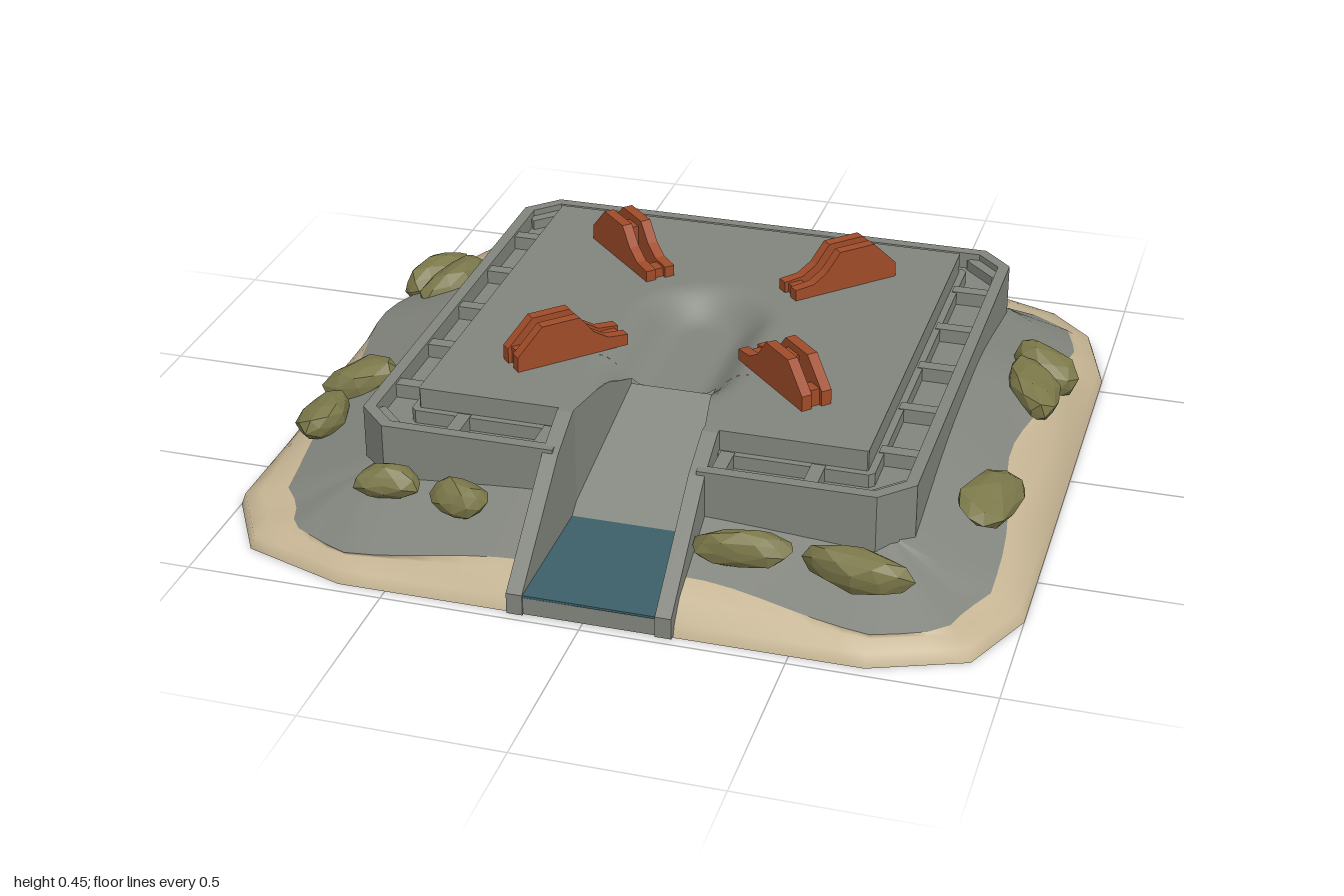
import * as THREE from 'three';

const mat = (name, color, side = THREE.FrontSide) => {
  const m = new THREE.MeshStandardMaterial({ color, side });
  m.name = name;
  return m;
};
const CX = 0.02; // centre line of platform and channel
const smooth = (a, b, v) => THREE.MathUtils.smoothstep(v, a, b);

// Surface through rows of [x, y, z] points
function grid(rows) {
  const w = rows[0].length, idx = [];
  for (let r = 0; r < rows.length - 1; r++)
    for (let c = 0; c < w - 1; c++) {
      const a = r * w + c, b = a + 1, d = a + w, e = d + 1;
      idx.push(a, d, b, b, d, e);
    }
  const g = new THREE.BufferGeometry();
  g.setAttribute('position', new THREE.Float32BufferAttribute(rows.flat(2), 3));
  g.setIndex(idx);
  g.computeVertexNormals();
  return g;
}

// Chamfered square outline, open at the front for the channel
function openOutline(inset) {
  const x0 = -0.68 + inset, x1 = 0.72 - inset, z0 = -0.68 + inset, z1 = 0.70 - inset;
  const c = Math.max(0.08 - 0.6 * inset, 0.003);
  return [[0.2, z1], [x1 - c, z1], [x1, z1 - c], [x1, z0 + c], [x1 - c, z0],
    [x0 + c, z0], [x0, z0 + c], [x0, z1 - c], [x0 + c, z1], [-0.16, z1]];
}
function band(outer, inner, y0, y1) {
  const pts = [...openOutline(outer), ...openOutline(inner).reverse()];
  const g = new THREE.ExtrudeGeometry(new THREE.Shape(pts.map(p => new THREE.Vector2(...p))),
    { depth: y1 - y0, bevelEnabled: false });
  return g.rotateX(Math.PI / 2).translate(0, y1, 0);
}

// Deck height: bowl in the middle, running out into the ramp
function deckHeight(x, z) {
  const d = Math.hypot(x - CX, z - Math.min(Math.max(z, 0), 0.5));
  const depth = 0.075 * (1 - smooth(0.28, 0.45, z));
  return 0.34 - depth * (1 - smooth(0.07, 0.19, d));
}

export function createModel() {
  const root = new THREE.Group();
  root.name = 'islandPlatform';
  const stone = mat('stone grey', 0x82857d, THREE.DoubleSide);
  const sand = mat('sand', 0xc6b594, THREE.DoubleSide);
  const moss = mat('mossy rock', 0x7b784a);
  const rust = mat('rust orange', 0xa04b29);
  const water = mat('deep water', 0x3c5f69, THREE.DoubleSide);
  const add = (name, geo, m, parent = root) => {
    const mesh = new THREE.Mesh(geo, m);
    mesh.name = name;
    parent.add(mesh);
    return mesh;
  };
  const box = (name, w, h, d, x, y, z, m, parent) =>
    add(name, new THREE.BoxGeometry(w, h, d).translate(x, y, z), m, parent);

  // Island shoreline, subdivided, open at the channel
  const corners = [[0.2, 0.97], [0.68, 0.97], [0.91, 0.88], [1, 0.68], [1, -0.56], [0.94, -0.76], [0.82, -0.88],
    [0.5, -1], [-0.68, -1], [-0.87, -0.87], [-1, -0.57], [-1, 0.69], [-0.89, 0.88], [-0.62, 0.97], [-0.165, 0.97]];
  const shore = [];
  for (let i = 0; i < corners.length - 1; i++) {
    const [a, b] = [corners[i], corners[i + 1]];
    const n = Math.max(3, Math.round(Math.hypot(b[0] - a[0], b[1] - a[1]) * 14));
    for (let k = 0; k < n; k++) shore.push([a[0] + (b[0] - a[0]) * k / n, a[1] + (b[1] - a[1]) * k / n]);
  }
  shore.push(corners[corners.length - 1]);

  // Slope rings: shore, lip, bank, sand edge, grey slope up to the wall
  const rings = [[], [], [], [], [], []];
  for (const [x, z] of shore) {
    const qx = Math.min(Math.max(x, -0.63), 0.67), qz = Math.min(Math.max(z, -0.63), 0.65);
    const len = Math.hypot(x - qx, z - qz), ang = Math.atan2(z, x);
    const mid = 1 - smooth(0.1, 0.8, Math.min(Math.abs(x), Math.abs(z)));
    const front = z > 0.9 ? 1 : 0;
    const bank = 0.055 + (front ? 0.05 : 0.09) * mid;
    const edge = 0.1 + 0.025 * Math.sin(5 * ang + 1) + 0.012 * Math.sin(11 * ang) - 0.025 * front;
    const sunk = smooth(0.55, 0.8, -x) * smooth(0.55, 0.8, -z);
    const top = 0.16 + (front ? 0.04 : 0.09) * mid - 0.08 * sunk;
    const at = (d, y) => [x + (qx - x) * d / len, y, z + (qz - z) * d / len];
    rings[0].push(at(0, 0));
    rings[1].push(at(0.012, 0.032));
    rings[2].push(at(0.055, bank * 0.78));
    rings[3].push(at(edge, bank));
    rings[4].push(at((edge + len) / 2, bank * 0.5 + top * 0.5));
    rings[5].push(at(len, top));
  }
  add('sandBank', grid(rings.slice(0, 4)), sand);
  add('rockSlope', grid(rings.slice(3)), stone);

  // Underside: flat sand ring and hollow grey centre
  const loop = [...shore, shore[0]];
  const under = (s, y) => loop.map(([x, z]) => [x * s, y, z * s]);
  add('undersideRing', grid([under(0.79, 0), under(1, 0)]), sand);
  add('undersideHollow', grid([under(0.01, 0.14), under(0.4, 0.07), under(0.79, 0)]), stone);

  // Platform: outer wall, trough floor, inner rail, deck side
  const platform = new THREE.Group();
  platform.name = 'platform';
  root.add(platform);
  add('outerWall', band(0, 0.03, 0.06, 0.295), stone, platform);
  add('troughFloor', band(0.01, 0.15, 0.2, 0.25), stone, platform);
  add('innerRail', band(0.112, 0.14, 0.24, 0.285), stone, platform);
  add('deckSide', band(0.13, 0.14, 0.2, 0.339), stone, platform);
  for (let k = -2; k <= 2; k++) {
    const o = k * 0.225;
    box('rib', 0.035, 0.05, 0.11, CX + o, 0.262, -0.61, stone, platform);
    if (k) box('rib', 0.035, 0.05, 0.11, CX + o, 0.262, 0.63, stone, platform);
    box('rib', 0.11, 0.05, 0.035, -0.61, 0.262, 0.01 + o, stone, platform);
    box('rib', 0.11, 0.05, 0.035, 0.65, 0.262, 0.01 + o, stone, platform);
  }
  for (const [x, z, a] of [[-0.61, -0.61, 1], [0.65, -0.61, -1], [-0.61, 0.63, -1], [0.65, 0.63, 1]])
    box('cornerBlock', 0.12, 0.045, 0.035, 0, 0, 0, stone, platform).position.set(x, 0.255, z),
    platform.children.at(-1).rotation.y = a * Math.PI / 4;

  // Foundation spreading out at the back right corner of the platform
  add('foundation', grid([
    [[-0.68, 0.25, 0], [-0.68, 0.25, -0.58], [-0.67, 0.25, -0.64], [-0.6, 0.25, -0.68], [-0.1, 0.25, -0.68], [0.2, 0.25, -0.68]],
    [[-0.68, 0.2, 0], [-0.8, 0.11, -0.6], [-0.75, 0.09, -0.73], [-0.6, 0.11, -0.8], [-0.1, 0.16, -0.8], [0.2, 0.2, -0.69]],
  ]).toNonIndexed(), stone).geometry.computeVertexNormals();

  // Deck surface, in three pieces around the ramp
  const half = z => 0.11 + 0.055 * (z - 0.28) / 0.29;
  const rampY = z => 0.27 - 0.22 * (z - 0.28) / 0.34;
  const patch = (z0, z1, left, right, nz, nx) => {
    const rows = [];
    for (let i = 0; i <= nz; i++) {
      const z = z0 + (z1 - z0) * i / nz, row = [];
      for (let j = 0; j <= nx; j++) {
        const x = left(z) + (right(z) - left(z)) * j / nx;
        row.push([x, deckHeight(x, z), z]);
      }
      rows.push(row);
    }
    return grid(rows);
  };
  const L = () => -0.55, R = () => 0.59;
  add('deck', patch(-0.55, 0.28, L, R, 44, 60), stone, platform);
  add('deckFrontRight', patch(0.28, 0.57, L, z => CX - half(z), 10, 20), stone, platform);
  add('deckFrontLeft', patch(0.28, 0.57, z => CX + half(z), R, 10, 20), stone, platform);

  // Ramp, its side faces and the water channel
  const channel = new THREE.Group();
  channel.name = 'channel';
  root.add(channel);
  add('ramp', grid([0.28, 0.62].map(z => [-1, 1].map(s => [CX + s * half(z), rampY(z), z]))), stone, channel);
  for (const s of [-1, 1]) {
    const zs = [0.28, 0.34, 0.4, 0.46, 0.52, 0.57];
    add('rampSide', grid([zs.map(z => [CX + s * half(z), deckHeight(CX + s * half(z), z), z]),
      zs.map(z => [CX + s * half(z), rampY(z), z])]), stone, channel);
    // Sloping side wall, profile in (z, y)
    const profile = [[0.56, 0.005], [0.985, 0.005], [0.985, 0.06], [0.7, 0.285], [0.585, 0.34], [0.56, 0.34]];
    const g = new THREE.ExtrudeGeometry(new THREE.Shape(profile.map(p => new THREE.Vector2(...p))),
      { depth: 0.04, bevelEnabled: false });
    g.rotateY(-Math.PI / 2).scale(1, 1, 1);
    add('channelWall', g, stone, channel).position.x = s < 0 ? -0.145 : 0.222;
  }
  box('channelBed', 0.34, 0.045, 0.38, CX, 0.0285, 0.79, stone, channel);
  box('water', 0.334, 0.006, 0.385, CX, 0.056, 0.79, water, channel);

  // Four launch clamps: twin cheek plates joined by blocks
  const cheek = new THREE.Shape([[-0.155, 0], [0.155, 0], [0.155, 0.03], [0.1, 0.035], [0.06, 0.06],
    [0.02, 0.11], [-0.085, 0.11], [-0.155, 0.04]].map(p => new THREE.Vector2(...p)));
  const cheekGeo = new THREE.ExtrudeGeometry(cheek, { depth: 0.028, bevelEnabled: false });
  for (const sx of [-1, 1]) for (const sz of [-1, 1]) {
    const clamp = new THREE.Group();
    clamp.name = 'clamp';
    for (const z of [-0.042, 0.014]) add('cheekPlate', cheekGeo, rust, clamp).position.z = z;
    box('outerBlock', 0.04, 0.045, 0.04, -0.125, 0.022, 0, rust, clamp);
    box('middleBlock', 0.05, 0.09, 0.04, -0.02, 0.045, 0, rust, clamp);
    box('innerBlock', 0.04, 0.025, 0.04, 0.125, 0.013, 0, rust, clamp);
    clamp.position.set(0.025 + sx * 0.285, 0.34, sz * 0.288);
    clamp.rotation.y = Math.atan2(sz, -sx);
    root.add(clamp);
  }

  // Boulders: x, y, z, length, width, turn
  const boulders = [[-0.38, 0.17, -0.78, 0.27, 0.13, 0.8], [0.2, 0.17, -0.77, 0.14, 0.09, -0.3],
    [0.37, 0.17, -0.81, 0.21, 0.14, 1.4], [-0.88, 0.15, -0.4, 0.23, 0.12, 1.1], [-0.79, 0.18, -0.31, 0.23, 0.13, 1.1],
    [-0.83, 0.17, 0.28, 0.21, 0.12, 0.2], [-0.87, 0.14, 0.44, 0.17, 0.12, 1.4], [-0.57, 0.17, 0.75, 0.17, 0.09, 0.1],
    [-0.37, 0.18, 0.79, 0.14, 0.1, 0], [0.34, 0.165, 0.8, 0.25, 0.09, 0.1], [0.62, 0.155, 0.8, 0.26, 0.1, -0.1],
    [0.88, 0.165, -0.29, 0.2, 0.13, -0.5], [0.87, 0.17, -0.15, 0.22, 0.13, -1.1], [0.86, 0.15, 0.39, 0.27, 0.14, 1.3]];
  boulders.forEach(([x, y, z, l, w, turn], n) => {
    const g = new THREE.IcosahedronGeometry(0.5, 1), p = g.attributes.position, v = new THREE.Vector3();
    for (let i = 0; i < p.count; i++) {
      v.fromBufferAttribute(p, i);
      const k = 1.02 + 0.13 * Math.sin(v.x * 7 + n * 2) * Math.cos(v.z * 6 + n) + 0.06 * Math.sin(v.y * 9 + n);
      p.setXYZ(i, v.x * k * l, v.y * k * 0.1, v.z * k * w);
    }
    g.rotateY(turn);
    g.computeVertexNormals();
    const rock = add('boulder', g, moss);
    rock.position.set(x, y, z);
    // Lean with the slope
    if (Math.abs(x) > 0.7) rock.rotation.z = -Math.sign(x) * 0.4;
    else rock.rotation.x = Math.sign(z) * 0.35;
  });
  return root;
}
